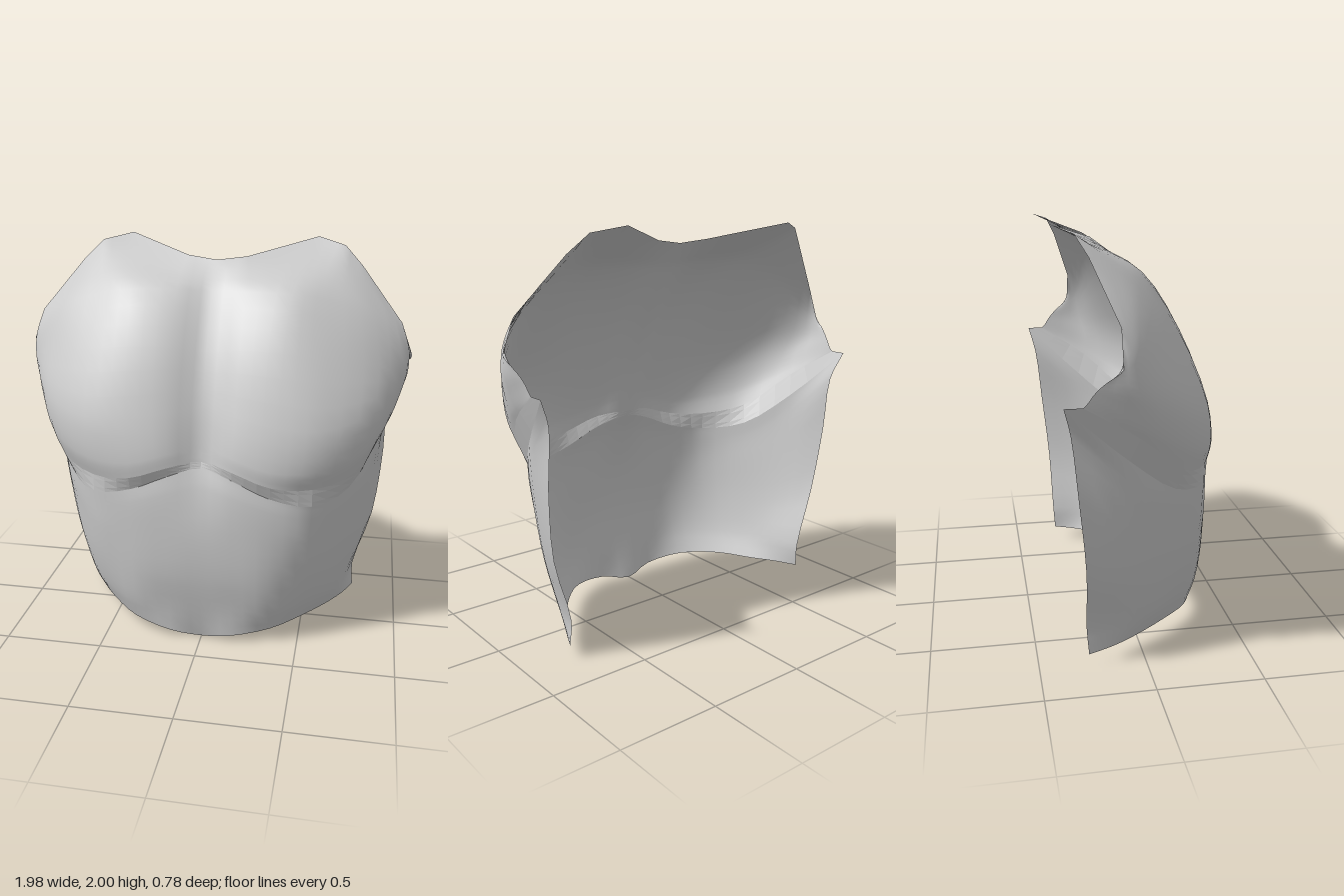
import * as THREE from 'three';

const STEPS = 3; // subdivisions between neighbouring section points

// Half sections run from the centre line to the model's left edge: [x, y, z].
const chestRows = [
  [[0, 1.905, -.14], [.15, 1.922, -.165], [.49, 2, -.385], [.63, 1.97, -.3], [.72, 1.88, -.25], [.93, 1.62, -.15], [.99, 1.46, -.15]],
  [[0, 1.84, -.08], [.17, 1.855, -.075], [.44, 1.89, -.15], [.6, 1.86, -.14], [.75, 1.78, -.15], [.95, 1.55, -.12], [.988, 1.44, -.17]],
  [[0, 1.77, -.02], [.17, 1.78, .02], [.4, 1.78, .04], [.57, 1.75, 0], [.79, 1.66, -.05], [.965, 1.48, -.1], [.98, 1.42, -.2]],
  [[0, 1.5, .14], [.17, 1.53, .19], [.38, 1.53, .21], [.58, 1.5, .175], [.83, 1.45, .05], [.965, 1.37, -.08], [.965, 1.385, -.24]],
  [[0, 1.25, .24], [.17, 1.23, .31], [.37, 1.2, .34], [.58, 1.19, .315], [.82, 1.24, .16], [.935, 1.26, -.05], [.955, 1.35, -.27]],
  [[0, 1.06, .285], [.16, 1.04, .36], [.35, .99, .385], [.57, .99, .335], [.79, 1.06, .185], [.91, 1.18, -.05], [.95, 1.32, -.29]],
  [[0, .99, .3], [.16, .97, .365], [.35, .91, .38], [.55, .89, .315], [.75, .94, .17], [.89, 1.14, -.06], [.95, 1.3, -.31]],
];
const waistRows = [
  [[0, .96, .31], [.16, .92, .35], [.35, .84, .355], [.55, .8, .315], [.72, .84, .14], [.85, 1.03, -.1], [.95, 1.3, -.39]],
  [[0, .86, .345], [.16, .83, .37], [.35, .77, .365], [.55, .73, .31], [.72, .76, .13], [.845, .93, -.1], [.893, 1.16, -.355]],
  [[0, .65, .385], [.16, .65, .385], [.35, .62, .37], [.54, .6, .305], [.705, .62, .115], [.82, .7, -.09], [.887, .88, -.325]],
  [[0, .4, .385], [.16, .4, .385], [.35, .4, .365], [.54, .4, .265], [.685, .41, .085], [.785, .44, -.1], [.85, .52, -.29]],
  [[0, .18, .35], [.16, .2, .355], [.35, .2, .335], [.52, .2, .21], [.65, .2, .045], [.72, .2, -.1], [.76, .2, -.28]],
  [[0, .005, .31], [.16, .04, .34], [.36, .07, .28], [.52, .08, .13], [.64, .07, -.04], [.71, .07, -.15], [.765, .07, -.27]],
];

// Sample a spline evenly per segment; straight keeps the corners
function sample(points, straight = false) {
  const curve = straight
    ? new THREE.CatmullRomCurve3(points, false, 'catmullrom', 0)
    : new THREE.CatmullRomCurve3(points);
  const n = (points.length - 1) * STEPS;
  return Array.from({ length: n + 1 }, (_, i) => curve.getPoint(i / n));
}

// Mirror a half section about x = 0 and smooth it sideways
function fullSection(half, straight) {
  const left = half.map(p => new THREE.Vector3(...p));
  const right = left.slice(1).reverse().map(p => new THREE.Vector3(-p.x, p.y, p.z));
  return sample([...right, ...left], straight);
}

// Skin a sheet over sections ordered from top to bottom
function skin(name, sections, flatShading = false) {
  const columns = sections[0].map((_, c) => sample(sections.map(s => s[c]), sections.length === 2));
  const rows = columns[0].length;
  const positions = [], index = [];
  for (const column of columns) for (const p of column) positions.push(p.x, p.y, p.z);
  for (let c = 0; c < columns.length - 1; c++) {
    for (let r = 0; r < rows - 1; r++) {
      const a = c * rows + r, b = a + rows;
      index.push(a, a + 1, b + 1, a, b + 1, b);
    }
  }
  const geometry = new THREE.BufferGeometry();
  geometry.setAttribute('position', new THREE.Float32BufferAttribute(positions, 3));
  geometry.setIndex(index);
  geometry.computeVertexNormals();
  const material = new THREE.MeshStandardMaterial({ color: 0xcccccc, side: THREE.DoubleSide, flatShading });
  const mesh = new THREE.Mesh(geometry, material);
  mesh.name = name;
  return mesh;
}

export function createModel() {
  const group = new THREE.Group();
  group.name = 'breastplate';
  const chest = chestRows.map((row, i) => fullSection(row, i === 0)); // crisp neck and arm edge
  const waist = waistRows.map(row => fullSection(row));
  group.add(
    skin('chestPlate', chest),
    skin('underChestFold', [chest.at(-1), waist[0]], true), // faceted step below the chest
    skin('waistPlate', waist),
  );
  return group;
}
